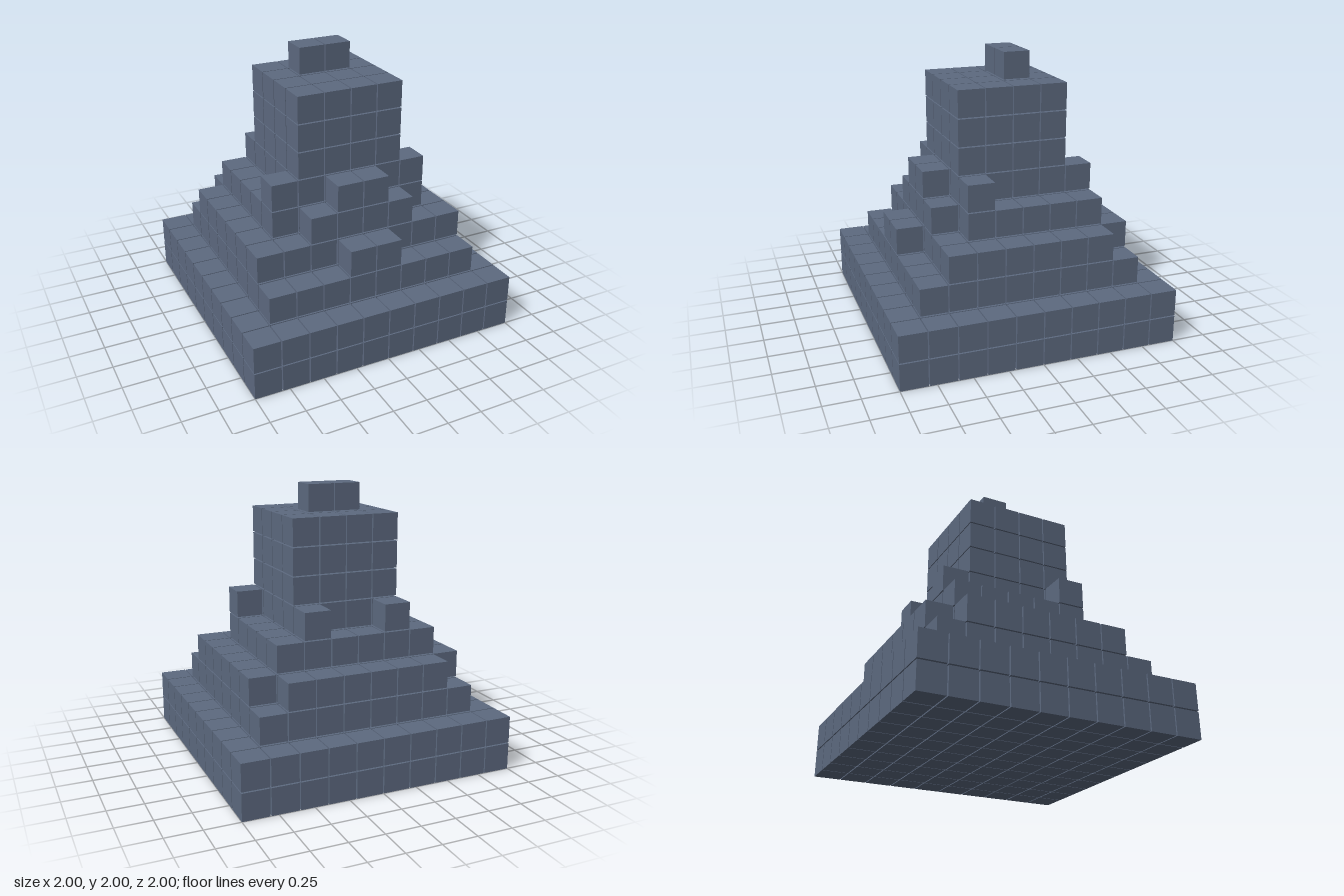
import * as THREE from 'three';
import { mergeGeometries } from 'three/addons/utils/BufferGeometryUtils.js';

// Stack height of every cell (hex), rows run back to front, columns along +x
const HEIGHTS = [
  '2222222222',
  '2344444432',
  '2456556542',
  '2459999542',
  '2459aa9542',
  '2459999542',
  '2469999642',
  '2445665442',
  '2333443332',
  '2222222222',
].map((row) => [...row].map((c) => parseInt(c, 16)));

const BLOCK = 0.192;              // edge of one block
const PITCH = (2 - BLOCK) / 9;    // spacing, leaves a thin joint

// Layer ranges that make up each named tier
const TIERS = [
  ['basePlinth', 0, 2],
  ['lowerTier', 2, 4],
  ['middleTier', 4, 6],
  ['tower', 6, 9],
  ['topBlocks', 9, 10],
];

// All blocks of the layers from..to as one geometry
function tierGeometry(from, to) {
  const blocks = [];
  for (let k = from; k < to; k++) {
    HEIGHTS.forEach((row, j) => row.forEach((height, i) => {
      if (height <= k) return;
      const block = new THREE.BoxGeometry(BLOCK, BLOCK, BLOCK);
      block.translate((i - 4.5) * PITCH, k * PITCH + BLOCK / 2, (j - 4.5) * PITCH);
      blocks.push(block);
    }));
  }
  return mergeGeometries(blocks);
}

export function createModel() {
  const model = new THREE.Group();
  model.name = 'steppedBlockTower';
  const stone = new THREE.MeshStandardMaterial({ color: 0x5d6a80 });
  for (const [name, from, to] of TIERS) {
    const tier = new THREE.Mesh(tierGeometry(from, to), stone);
    tier.name = name;
    model.add(tier);
  }
  return model;
}
